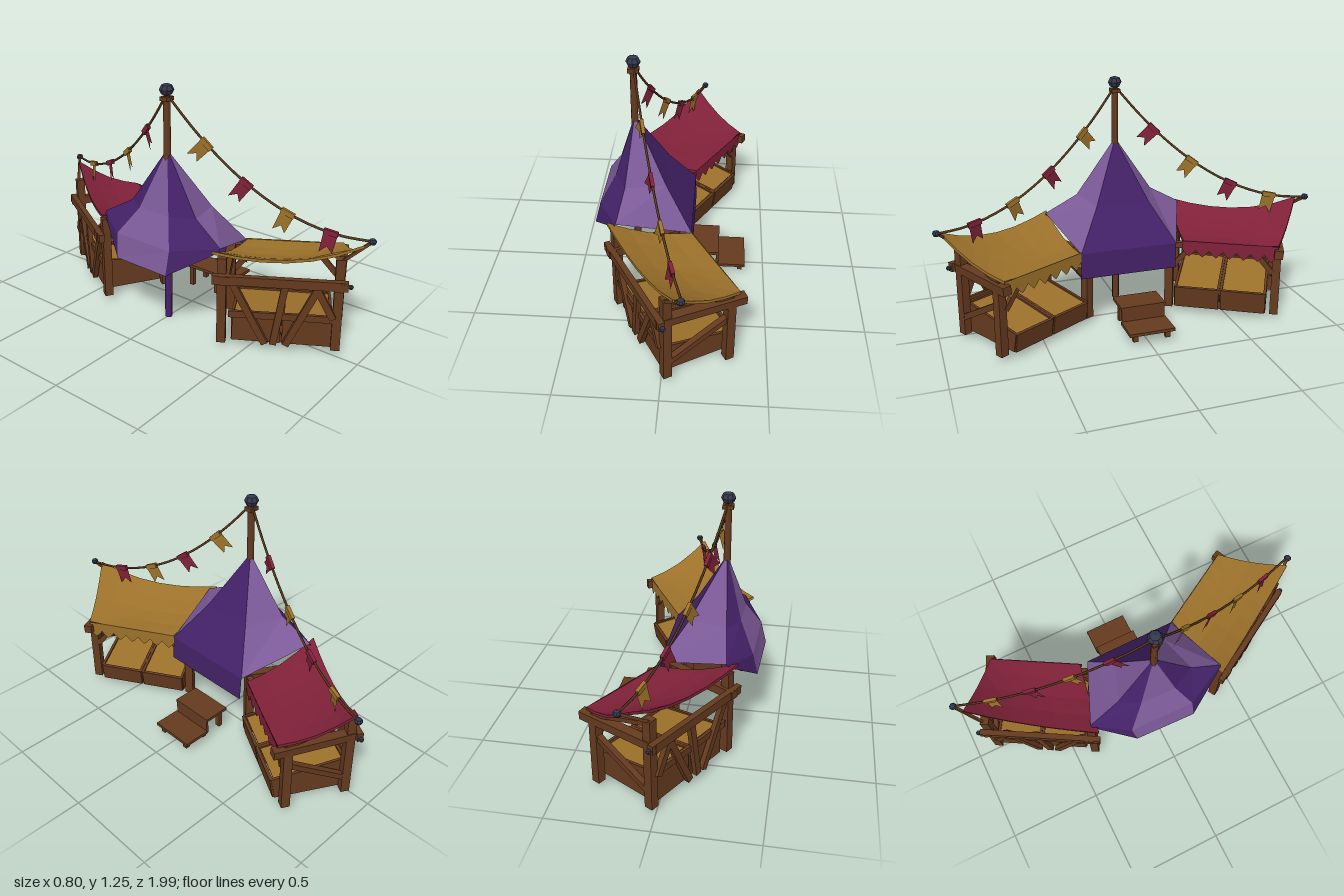
import * as THREE from 'three';

const mat = (name, color, side = THREE.FrontSide) => {
  const m = new THREE.MeshStandardMaterial({ color, side });
  m.name = name;
  return m;
};
const V = (x, y, z) => new THREE.Vector3(x, y, z);

export function createModel() {
  const D = THREE.DoubleSide;
  const wood = mat('wood', 0x653a1f);
  const rope = mat('rope', 0x55361c);
  const iron = mat('iron', 0x34384c);
  const yellow = mat('yellow cloth', 0x9c712a, D);
  const red = mat('red cloth', 0x802139, D);
  const yellowLining = mat('yellow lining', 0x5c4018, D);
  const redLining = mat('red lining', 0x2a0b11, D);
  const lilac = mat('light purple cloth', 0x7c5a98, D);
  const violet = mat('dark purple cloth', 0x432167, D);
  const root = new THREE.Group();
  root.name = 'marketTent';

  const add = (parent, name, geo, material) => {
    const mesh = new THREE.Mesh(geo, material);
    mesh.name = name;
    parent.add(mesh);
    return mesh;
  };
  const box = (parent, name, w, h, d, x, y, z, material = wood) => {
    const m = add(parent, name, new THREE.BoxGeometry(w, h, d), material);
    m.position.set(x, y, z);
    return m;
  };
  // square timber between two points
  const beam = (parent, name, a, b, w, d = w) => {
    const dir = b.clone().sub(a);
    const m = add(parent, name, new THREE.BoxGeometry(w, dir.length(), d), wood);
    m.position.copy(a).add(b).multiplyScalar(0.5);
    m.quaternion.setFromUnitVectors(V(0, 1, 0), dir.normalize());
    return m;
  };
  // faceted, slightly squat knob
  const ball = (parent, name, r, p) => {
    const g = new THREE.SphereGeometry(r, 8, 4).toNonIndexed();
    g.scale(1, 0.85, 1);
    g.computeVertexNormals();
    add(parent, name, g, iron).position.copy(p);
  };
  // flat-shaded panel from rows of points
  const sheet = (rows) => {
    const pos = [];
    const put = (...ps) => ps.forEach((p) => pos.push(p.x, p.y, p.z));
    for (let i = 0; i + 1 < rows.length; i++) {
      for (let j = 0; j + 1 < rows[i].length; j++) {
        const a = rows[i][j], b = rows[i][j + 1], c = rows[i + 1][j + 1], d = rows[i + 1][j];
        put(a, d, c, a, c, b);
      }
    }
    const g = new THREE.BufferGeometry();
    g.setAttribute('position', new THREE.Float32BufferAttribute(pos, 3));
    g.computeVertexNormals();
    return g;
  };

  // centre pole with collar and finial
  const pole = add(root, 'centrePole', new THREE.CylinderGeometry(0.018, 0.018, 1.19, 8), wood);
  pole.position.set(-0.195, 0.595, 0);
  box(root, 'poleCollar', 0.055, 0.02, 0.045, -0.195, 1.178, 0);
  ball(root, 'poleFinial', 0.037, V(-0.195, 1.222, 0));
  const sleeve = add(root, 'poleSleeve', new THREE.CylinderGeometry(0.02, 0.02, 0.85, 8, 1, true, Math.PI, Math.PI), violet);
  sleeve.position.set(-0.197, 0.425, 0);

  // six-sided canopy in alternating colours, concave towards the eaves
  const apex = V(-0.195, 0.92, 0);
  const eave = [V(0.11, 0.41, -0.24), V(0.11, 0.41, 0.275), V(-0.26, 0.52, 0.375),
    V(-0.37, 0.48, 0.15), V(-0.36, 0.48, -0.2), V(-0.25, 0.52, -0.385)];
  const hem = [V(0.115, 0.275, -0.235), V(0.115, 0.275, 0.28), V(-0.27, 0.5, 0.37),
    V(-0.4, 0.36, 0.15), V(-0.385, 0.355, -0.18), V(-0.26, 0.5, -0.38)];
  const drop = [0.03, 0.03, 0.08, 0.06, 0.06, 0.08];
  const column = (i) => {
    const mid = apex.clone().lerp(eave[i], 0.55);
    mid.y -= drop[i];
    return [apex.clone().lerp(eave[i], 0.04), mid, eave[i], hem[i]];
  };
  for (let i = 0; i < 6; i++) {
    const j = (i + 1) % 6;
    const n = i === 1 || i === 5 ? 3 : 4; // open where the wings join
    add(root, 'canopyPanel', sheet([column(i).slice(0, n), column(j).slice(0, n)]), i % 2 ? lilac : violet);
  }

  // entrance steps
  box(root, 'upperStep', 0.145, 0.016, 0.24, 0.18, 0.142, -0.01);
  box(root, 'stepRiser', 0.014, 0.08, 0.23, 0.245, 0.096, -0.01);
  box(root, 'lowerStep', 0.145, 0.016, 0.24, 0.323, 0.064, -0.01);
  for (const z of [-0.095, 0.075]) {
    box(root, 'upperStepLeg', 0.025, 0.115, 0.025, 0.13, 0.08, z);
    box(root, 'lowerStepLeg', 0.025, 0.035, 0.025, 0.37, 0.038, z);
    box(root, 'lowerStepLeg', 0.025, 0.035, 0.025, 0.25, 0.038, z);
  }

  // side stall; local x runs along the wing, local z faces its front
  const wing = (s, cloth, lining, forward, lift) => {
    const g = new THREE.Group();
    g.name = s > 0 ? 'redStall' : 'yellowStall';
    g.rotation.y = s > 0 ? Math.PI / 3 : 2 * Math.PI / 3;
    root.add(g);
    const P = (u, y, v) => V(s * u, y, v);

    // sagging lined roof with a raised outer corner
    const roofAt = (a, b) => {
      const u0 = 0.16 + 0.14 * b, u1 = 0.86 - 0.07 * b;
      const back = 0.52 - 0.14 * a * (1 - a) + 0.07 * a ** 3;
      const y = back * (1 - b) + (0.415 + 0.01 * a ** 4) * b - 0.03 * Math.sin(Math.PI * b);
      return P(u0 + (u1 - u0) * a, y, -0.445 + 0.4 * b + (0.02 + forward) * a * (1 - b));
    };
    const rows = [];
    for (let i = 0; i <= 6; i++) rows.push([0, 1, 2, 3, 4].map((k) => roofAt(i / 6, k / 4)));
    const lower = (p, h) => p.clone().setY(p.y - h);
    add(g, 'stallRoof', sheet(rows), cloth);
    add(g, 'roofLining', sheet(rows.map((r) => r.map((p) => lower(p, 0.009)))), lining);
    const ridge = rows.map((r) => r[0]);
    for (const [name, line] of [['outerHem', rows[6]], ['innerHem', rows[0]], ['backHem', ridge]]) {
      add(g, name, sheet([line, line.map((p) => lower(p, 0.016))]), cloth);
    }

    // scalloped trim along the front eave
    const trim = new THREE.Shape();
    trim.moveTo(0.29, 0.418);
    for (let i = 0; i < 7; i++) {
      const u = 0.29 + i * 0.0715;
      trim.lineTo(u + 0.002, 0.37);
      trim.lineTo(u + 0.022, 0.345);
      trim.lineTo(u + 0.038, 0.332);
      trim.lineTo(u + 0.054, 0.347);
    }
    trim.lineTo(0.79, 0.37);
    trim.lineTo(0.79, 0.422);
    const trimGeo = new THREE.ShapeGeometry(trim);
    if (s < 0) trimGeo.rotateY(Math.PI);
    add(g, 'scallopedTrim', trimGeo, cloth).position.z = -0.043;

    // posts, rails and rafters
    for (const [u, v, top] of [[0.205, -0.415, 0.48], [0.76, -0.412, 0.51], [0.22, -0.08, 0.4], [0.785, -0.095, 0.4]]) {
      beam(g, 'post', P(u, 0.025, v), P(u, top, v), 0.044);
    }
    beam(g, 'innerRail', P(0.22, 0.38, -0.47), P(0.22, 0.385, -0.06), 0.045);
    beam(g, 'outerRail', P(0.757, 0.38, -0.465), P(0.795, 0.385, -0.02), 0.045);
    beam(g, 'backRail', P(0.16, 0.38, -0.45), P(0.8, 0.385, -0.45), 0.045, 0.03);
    beam(g, 'frontRail', P(0.22, 0.385, -0.075), P(0.785, 0.385, -0.075), 0.03);
    beam(g, 'rafter', P(0.765, 0.49, -0.41), P(0.785, 0.4, -0.08), 0.022);
    const tip = s > 0 ? P(0.91, 0.6, -0.371) : P(0.895, 0.6, -0.405);
    beam(g, 'cornerProng', P(0.765, 0.5, -0.42), tip, 0.014);
    ball(g, 'railBolt', 0.014, P(0.81, 0.383, -0.45));
    ball(g, 'cornerFinial', 0.02, tip);

    // back and side braces
    for (const [u0, y0, u1, y1] of [[0.42, 0.04, 0.25, 0.37], [0.46, 0.04, 0.51, 0.37],
      [0.52, 0.04, 0.67, 0.37], [0.74, 0.2, 0.65, 0.37]]) {
      beam(g, 'backBrace', P(u0, y0, -0.435), P(u1, y1, -0.435), 0.034, 0.026);
    }
    beam(g, 'sideBrace', P(0.765, 0.12, -0.4), P(0.785, 0.29, -0.1), 0.03);
    for (const u of [0.24, 0.765]) {
      beam(g, 'frontBrace', P(u, 0.26, -0.08), P(u < 0.5 ? u + 0.1 : u - 0.1, 0.38, -0.08), 0.028, 0.02);
    }

    // two sloping display bins, open underneath, goods set near the rims
    const profile = new THREE.Shape([new THREE.Vector2(0.41, 0.035), new THREE.Vector2(0.06, 0.035),
      new THREE.Vector2(0.04, 0.135 + lift), new THREE.Vector2(0.41, 0.19 + lift)]);
    for (const u of [0.26, 0.49, 0.505, 0.735]) {
      const side = new THREE.ExtrudeGeometry(profile, { depth: 0.014, bevelEnabled: false });
      side.rotateY(Math.PI / 2); // profile x becomes depth towards the back
      add(g, 'binSide', side, wood).position.x = s * u - 0.007;
    }
    for (const u of [0.375, 0.62]) {
      const w = 0.235;
      box(g, 'binFront', w, 0.1 + lift, 0.016, s * u, 0.085 + lift / 2, -0.05).rotation.x = 0.15;
      box(g, 'binBack', w, 0.155 + lift, 0.016, s * u, 0.113 + lift / 2, -0.41);
      box(g, 'binGoods', w - 0.01, 0.009, 0.35, s * u, 0.15 + lift, -0.23, yellow).rotation.x = 0.15;
    }
    beam(g, 'backBoard', P(0.24, 0.185 + lift, -0.425), P(0.75, 0.19 + lift, -0.425), 0.035, 0.016);
  };
  wing(1, red, redLining, 0.035, 0.02);
  wing(-1, yellow, yellowLining, 0, 0);

  // sagging ropes with swallow-tailed pennants folded over them
  const tail = new THREE.Shape([[-0.035, 0.012], [0.035, 0.012], [0.03, -0.105], [0, -0.07], [-0.032, -0.1]]
    .map(([x, y]) => new THREE.Vector2(x, y)));
  for (const s of [-1, 1]) {
    const reach = s > 0 ? 0.295 : 0.33;
    const at = (t) => V(-0.195 + reach * t, 1.2 - 0.6 * t - 0.66 * t * (1 - t), s * 0.975 * t);
    const pts = [];
    for (let i = 0; i <= 8; i++) pts.push(at(i / 8));
    const line = new THREE.CatmullRomCurve3(pts);
    add(root, 'rope', new THREE.TubeGeometry(line, 20, 0.0065, 5), rope);
    [0.2, 0.4, 0.605, 0.81].forEach((t, i) => {
      const x = at(t + 0.02).sub(at(t - 0.02)).normalize().multiplyScalar(-s);
      const z = x.clone().cross(V(0, 1, 0)).normalize();
      const y = z.clone().cross(x);
      const flag = new THREE.Group();
      flag.name = 'pennant';
      root.add(flag);
      const cloth = (i + (s > 0 ? 0 : 1)) % 2 ? red : yellow;
      add(flag, 'pennantTail', new THREE.ShapeGeometry(tail), cloth).rotation.set(0.12, 0.2 * s, 0);
      box(flag, 'pennantFold', 0.07, 0.026, 0.018, 0, 0, 0, cloth);
      flag.quaternion.setFromRotationMatrix(new THREE.Matrix4().makeBasis(x, y, z));
      flag.position.copy(at(t));
    });
  }
  return root;
}
